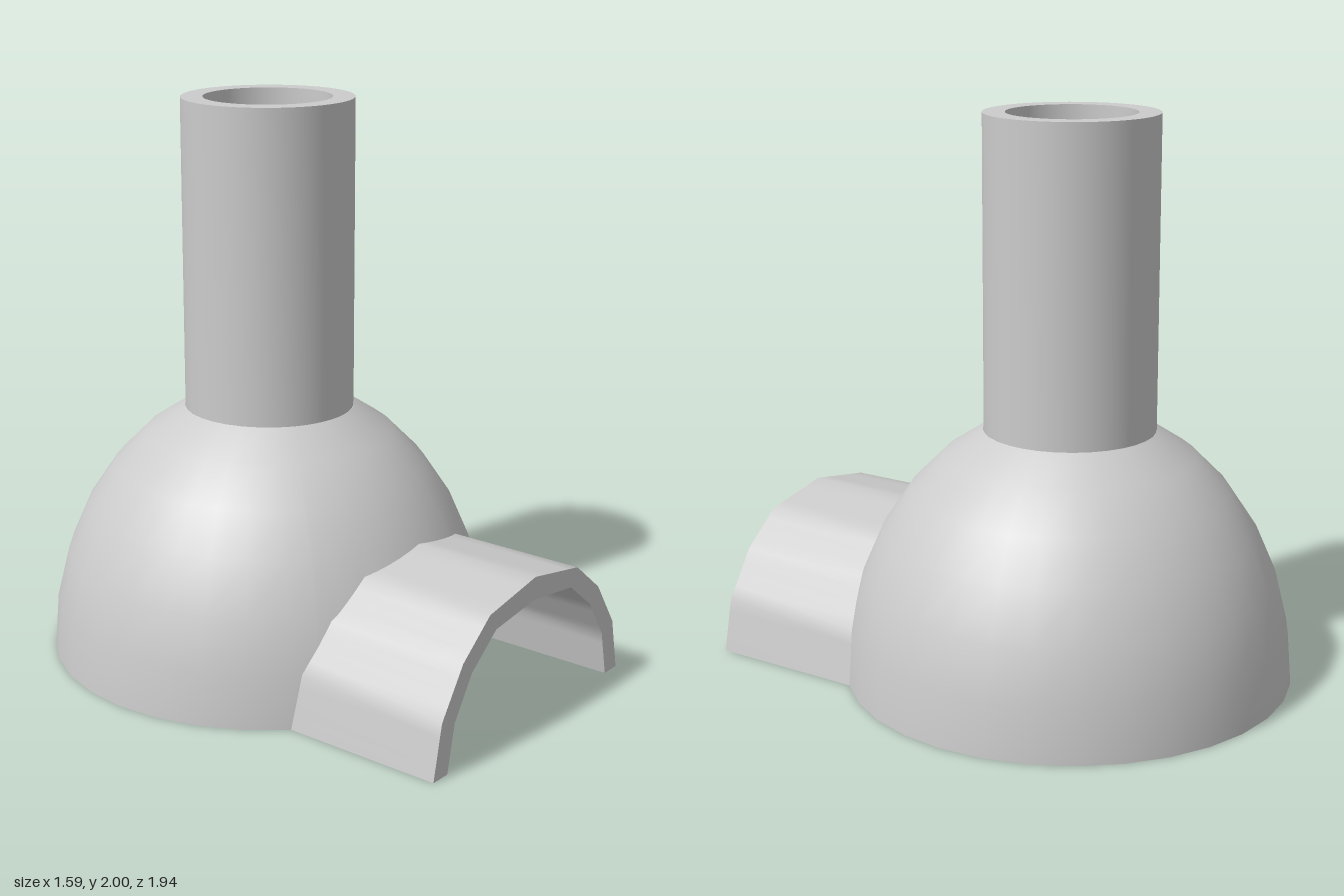
import * as THREE from 'three';
import { toCreasedNormals } from 'three/addons/utils/BufferGeometryUtils.js';

const CENTER_Z = -0.175;
const OUTER = { R: 0.795, H: 0.975, top: THREE.MathUtils.degToRad(67.5) };
const INNER = { R: 0.72, H: 0.9, top: Math.acos(0.225 / 0.72) };
const FRONT_Z = 0.97;

// Arch profiles from the right foot (+x) to the crown, mirrored to the other foot
const mirrored = half => [...half.map(([x, y]) => [-x, y]), ...half.slice(0, -1).reverse()];
const archOuter = mirrored([[0.56, 0], [0.52, 0.19], [0.41, 0.355], [0.264, 0.472], [0, 0.52]]);
const archInner = mirrored([[0.485, 0], [0.45, 0.165], [0.36, 0.305], [0.227, 0.41], [0, 0.44]]);

// Adds evenly spaced points along each straight run of a profile
function subdivide(points, n) {
  const out = [points[0]];
  for (let i = 1; i < points.length; i++) {
    for (let k = 1; k <= n; k++) {
      const f = k / n;
      out.push(points[i - 1].map((v, a) => v + (points[i][a] - v) * f));
    }
  }
  return out;
}

// Skins a list of equal-length sections
function loft(sections, { closeRing = false, closeAround = false } = {}) {
  const n = sections[0].length;
  const m = sections.length;
  const index = [];
  for (let j = 0; j < (closeAround ? m : m - 1); j++) {
    for (let i = 0; i < (closeRing ? n : n - 1); i++) {
      const j1 = (j + 1) % m, i1 = (i + 1) % n;
      const a = j * n + i, b = j1 * n + i, c = j1 * n + i1, d = j * n + i1;
      index.push(a, b, c, a, c, d);
    }
  }
  const geo = new THREE.BufferGeometry();
  geo.setAttribute('position', new THREE.Float32BufferAttribute(sections.flat(2), 3));
  geo.setIndex(index);
  return toCreasedNormals(geo, 0.6);
}

// Angles (around, up) at which a line along z through (x, y) meets a dome
function domeAngles({ R, H }, [x, y]) {
  const up = Math.asin(y / H);
  return [Math.asin(x / (R * Math.cos(up))), up];
}

function domePoint({ R, H }, around, up) {
  const r = R * Math.cos(up);
  return [r * Math.sin(around), H * Math.sin(up), CENTER_Z + r * Math.cos(around)];
}

// One meridian of a dome, starting at the given lower limit
function meridian(dome, [around, low]) {
  const points = [];
  for (let i = 0; i <= 6; i++) {
    const up = i === 6 ? dome.top : i * Math.PI / 16;
    points.push(domePoint(dome, around, Math.max(up, low)));
  }
  return points;
}

// Hollow dome with an arched doorway
function domeGeometry() {
  const columns = subdivide(archInner, 4).map(p => [domeAngles(OUTER, p), domeAngles(INNER, p)]);
  for (let k = 4; k <= 28; k++) {
    const c = [k * Math.PI / 16, 0];
    columns.push([c, c]);
  }
  const sections = columns.map(([o, i]) => [...meridian(OUTER, o), ...meridian(INNER, i).reverse()]);
  return loft(sections, { closeRing: true, closeAround: true });
}

// Arched tunnel running from the dome to the front
function tunnelGeometry() {
  const outer = subdivide(archOuter, 4), inner = subdivide(archInner, 4);
  const sections = outer.map((o, k) => {
    const i = inner[k];
    const backO = domePoint(OUTER, ...domeAngles(OUTER, o))[2] - 0.02;
    const backI = domePoint(OUTER, ...domeAngles(OUTER, i))[2];
    return [[...i, backI], [...i, FRONT_Z], [...o, FRONT_Z], [...o, backO]];
  });
  return { body: loft(sections), feet: [sections[0], sections[sections.length - 1]] };
}

export function createModel() {
  const group = new THREE.Group();
  const material = new THREE.MeshStandardMaterial({ color: 0xcccccc, side: THREE.DoubleSide });
  const add = (name, geometry, parent = group) => {
    const mesh = new THREE.Mesh(geometry, material);
    mesh.name = name;
    parent.add(mesh);
    return mesh;
  };

  add('dome', domeGeometry());

  // Open pipe on top of the dome
  const pipeProfile = [[0.302, 0.895], [0.302, 2], [0.225, 2], [0.225, 0.855]]
    .map(([x, y]) => new THREE.Vector2(x, y));
  const pipe = add('chimneyPipe', toCreasedNormals(new THREE.LatheGeometry(pipeProfile, 64), 0.6));
  pipe.position.z = CENTER_Z;

  // Entrance tunnel with flat undersides on both feet
  const tunnel = new THREE.Group();
  tunnel.name = 'entranceTunnel';
  group.add(tunnel);
  const { body, feet } = tunnelGeometry();
  add('tunnelArch', body, tunnel);
  feet.forEach(([iBack, iFront, oFront, oBack], k) => {
    const rows = [[iBack, iFront], [oBack, oFront]];
    add(k ? 'leftFoot' : 'rightFoot', loft(k ? rows : rows.reverse()), tunnel);
  });
  return group;
}
